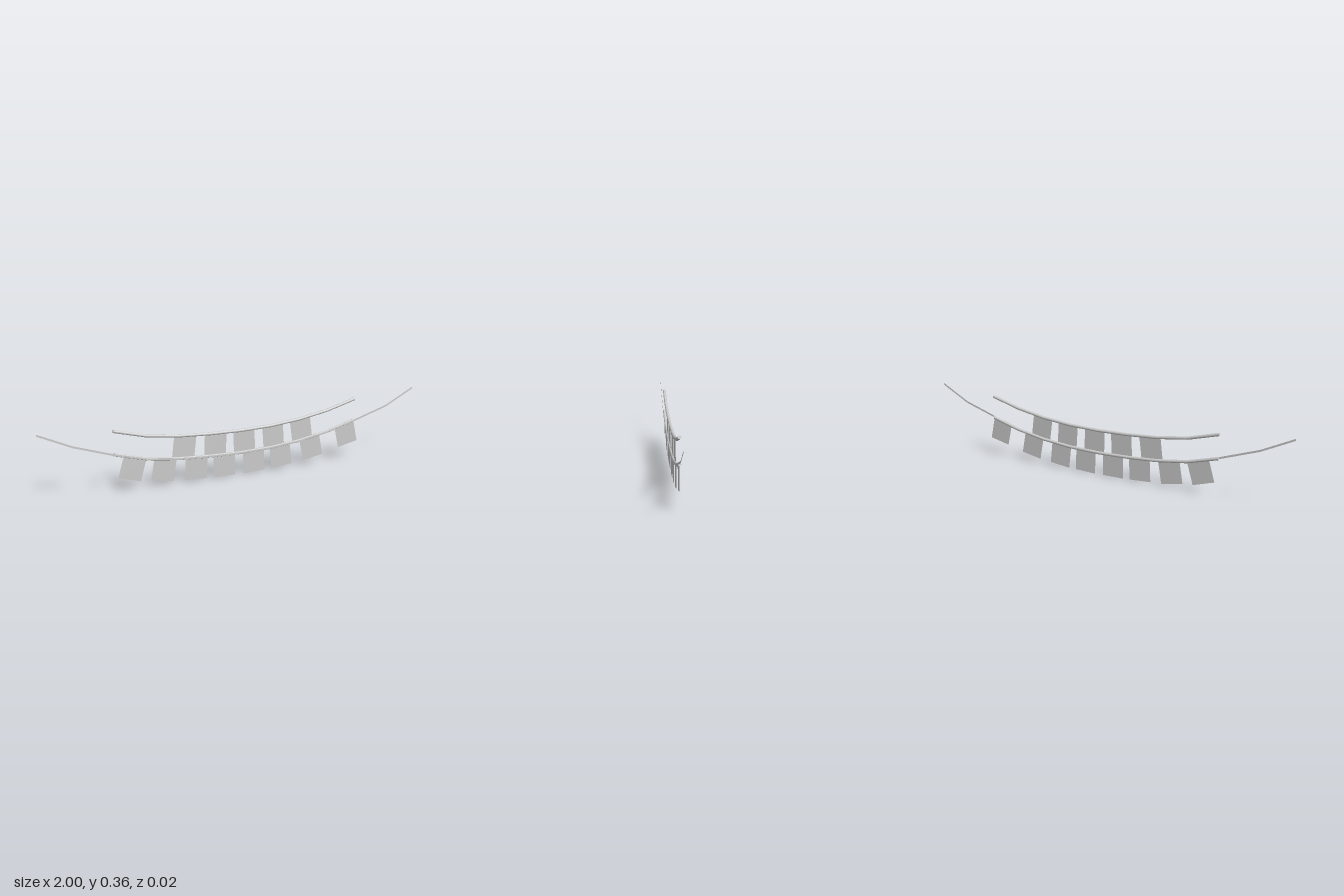
import * as THREE from 'three';

const material = new THREE.MeshStandardMaterial({ color: 0xcccccc, side: THREE.DoubleSide });

// Sagging centre line of the lower rope; the upper one is the same, raised
const SAG = [[-0.645, 0.196], [-0.485, 0.154], [-0.323, 0.133], [-0.16, 0.124], [0, 0.121],
  [0.163, 0.126], [0.325, 0.142], [0.49, 0.172], [0.65, 0.217]];
const RISE = 0.117, RADIUS = 0.008, FLAG = 0.115;

// Height of the lower rope at a given x
function sagAt(x) {
  let i = 0;
  while (i < SAG.length - 2 && x > SAG[i + 1][0]) i++;
  const [x0, y0] = SAG[i], [x1, y1] = SAG[i + 1];
  return y0 + (y1 - y0) * (x - x0) / (x1 - x0);
}

function add(parent, name, geometry) {
  const mesh = new THREE.Mesh(geometry, material);
  mesh.name = name;
  parent.add(mesh);
  return mesh;
}

// Round rope with closed ends
function addRope(parent, name, rise) {
  const rope = new THREE.Group();
  rope.name = name;
  const points = SAG.map(([x, y]) => new THREE.Vector3(x, y + rise, 0));
  const curve = new THREE.CatmullRomCurve3(points);
  add(rope, 'ropeBody', new THREE.TubeGeometry(curve, 8, RADIUS, 12));
  for (const t of [0, 1]) {
    const cap = add(rope, 'ropeEnd', new THREE.CircleGeometry(RADIUS, 12));
    const direction = curve.getTangentAt(t).multiplyScalar(t ? 1 : -1);
    cap.position.copy(curve.getPointAt(t));
    cap.quaternion.setFromUnitVectors(new THREE.Vector3(0, 0, 1), direction);
  }
  parent.add(rope);
}

// Square flags hanging from a rope: [x of the top edge's middle, tilt in degrees]
function addFlags(parent, name, rise, list) {
  const row = new THREE.Group();
  row.name = name;
  for (const [x, tilt] of list) {
    const geometry = new THREE.PlaneGeometry(FLAG, FLAG).translate(0, -FLAG / 2, 0);
    const flag = add(row, 'flag', geometry);
    flag.position.set(x, sagAt(x) + rise, 0);
    flag.rotation.z = THREE.MathUtils.degToRad(tilt);
  }
  parent.add(row);
}

// Flat ribbon along the front of the lower rope, running on past both ends
function ribbonGeometry() {
  const path = [[-1, 0.338], [-0.84, 0.262], ...SAG, [0.84, 0.277], [1, 0.361]];
  const geometry = new THREE.PlaneGeometry(2, 0.01, path.length - 1, 1);
  const position = geometry.attributes.position;
  for (let i = 0; i < position.count; i++) {
    const [x, y] = path[i % path.length];
    position.setXYZ(i, x, y + position.getY(i), 0.0075);
  }
  geometry.computeVertexNormals();
  return geometry;
}

export function createModel() {
  const group = new THREE.Group();
  group.name = 'bunting';
  addRope(group, 'lowerRope', 0);
  addRope(group, 'upperRope', RISE);
  add(group, 'ribbon', ribbonGeometry());
  addFlags(group, 'lowerFlags', 0, [[-0.542, -16.5], [-0.391, -9.5], [-0.231, -3], [-0.084, 0],
    [0.074, 2.5], [0.221, 6.5], [0.391, 11], [0.594, 12.5]]);
  addFlags(group, 'upperFlags', RISE, [[-0.287, -7], [-0.129, -2], [0.023, 1], [0.18, 4], [0.334, 8]]);
  return group;
}
